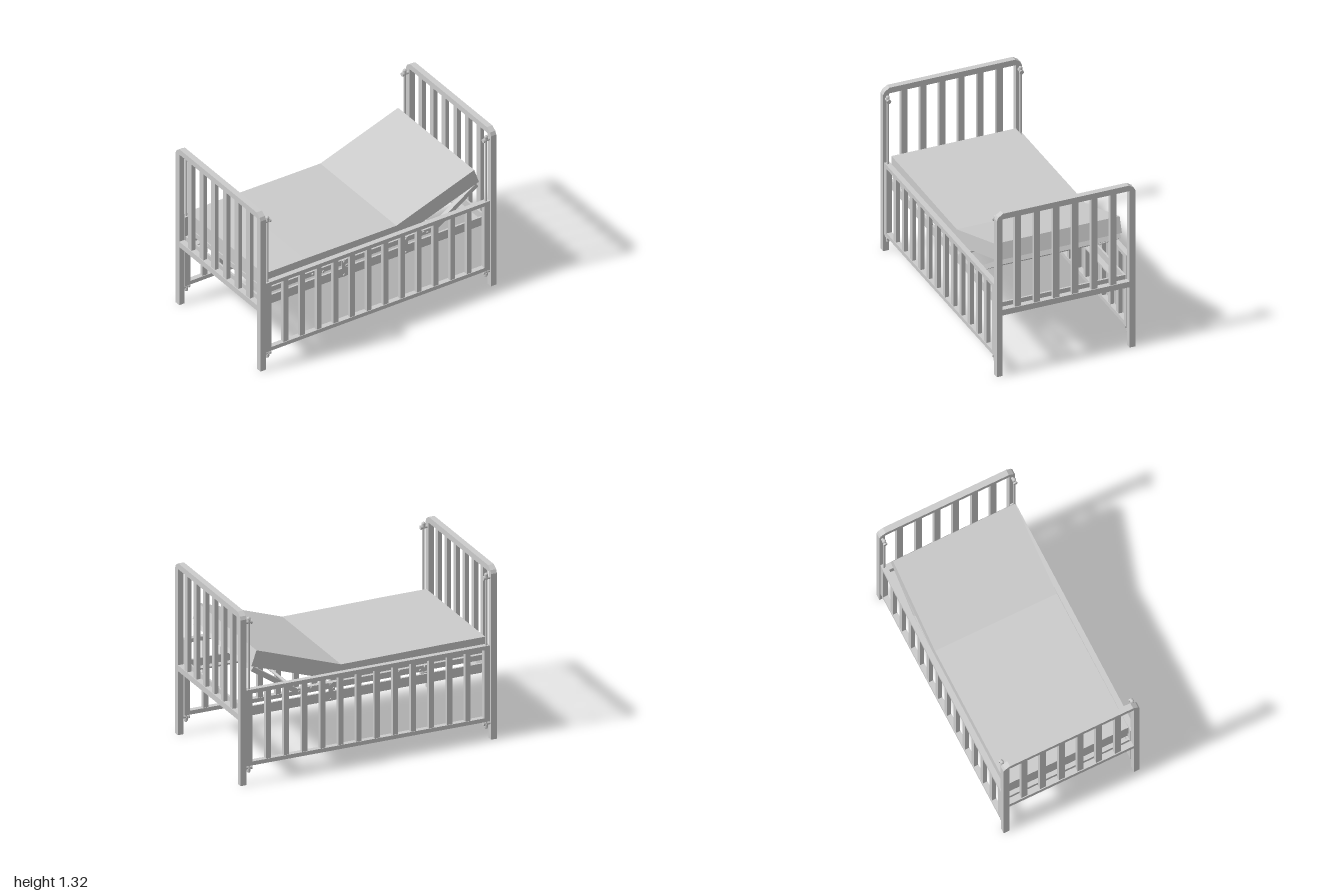
import * as THREE from 'three';

const mat = new THREE.MeshStandardMaterial({ color: 0xcccccc, flatShading: true });
const smooth = new THREE.MeshStandardMaterial({ color: 0xcccccc });

function add(parent, name, geometry, x = 0, y = 0, z = 0, material = mat) {
  const mesh = new THREE.Mesh(geometry, material);
  mesh.name = name;
  mesh.position.set(x, y, z);
  parent.add(mesh);
  return mesh;
}

// Box given by its lower and upper limits
function box(parent, name, x0, x1, y0, y1, z0, z1) {
  return add(parent, name, new THREE.BoxGeometry(x1 - x0, y1 - y0, z1 - z0),
    (x0 + x1) / 2, (y0 + y1) / 2, (z0 + z1) / 2);
}

// Round bar along one axis
function rod(parent, name, axis, radius, length, x, y, z) {
  const g = new THREE.CylinderGeometry(radius, radius, length, 12);
  if (axis === 'x') g.rotateZ(Math.PI / 2);
  if (axis === 'z') g.rotateX(Math.PI / 2);
  return add(parent, name, g, x, y, z, smooth);
}

function group(parent, name) {
  const g = new THREE.Group();
  g.name = name;
  parent.add(g);
  return g;
}

function polygon(points) {
  return new THREE.Shape(points.map(([x, y]) => new THREE.Vector2(x, y)));
}

// Head and foot boards: arched frame with six slats
function endBoard(parent, name, x) {
  const g = group(parent, name);
  const W = 0.535, H = 1.315, t = 0.045, w = W - t;
  const frame = polygon([
    [-W, 0], [-w, 0], [-w, 0.49], [w, 0.49], [w, 0], [W, 0],
    [W, H - 0.05], [W - 0.012, H - 0.025], [W - 0.05, H],
    [-W + 0.05, H], [-W + 0.012, H - 0.025], [-W, H - 0.05],
  ]);
  frame.holes.push(polygon([[-w, 0.535], [-w, 1.27], [w, 1.27], [w, 0.535]]));
  const geo = new THREE.ExtrudeGeometry(frame, { depth: t, bevelEnabled: false });
  geo.translate(0, 0, -t / 2).rotateY(Math.PI / 2);
  add(g, 'endFrame', geo, x);
  for (let i = 0; i < 6; i++) {
    const z = (i - 2.5) * 0.147;
    box(g, 'endSlat', x - 0.016, x + 0.016, 0.535, 1.27, z - 0.0235, z + 0.0235);
  }
}

// Drop side: rails, end stiles and twelve slats
function sideGate(parent, name, z) {
  const g = group(parent, name);
  const a = z - 0.02, b = z + 0.02;
  box(g, 'topRail', -0.95, 0.95, 0.69, 0.72, a, b);
  box(g, 'bottomRail', -0.95, 0.95, 0.14, 0.17, a, b);
  for (const s of [-1, 1]) {
    box(g, 'endStile', s * 0.9275 - 0.0225, s * 0.9275 + 0.0225, 0.17, 0.69, a, b);
  }
  for (let i = 0; i < 12; i++) {
    const x = (i - 5.5) * 0.1415;
    box(g, 'sideSlat', x - 0.02, x + 0.02, 0.17, 0.69, z - 0.015, z + 0.015);
  }
}

// Vertical guide rod with its end brackets
function guideRod(parent, sx, sz) {
  const g = group(parent, 'guideRod');
  const x = sx * 0.927, z = sz * 0.512;
  rod(g, 'rod', 'y', 0.009, 1.14, x, 0.68, z);
  for (const [y, d] of [[1.232, 1], [0.122, -1]]) {
    rod(g, 'bracket', 'x', 0.011, 0.05, sx * 0.932, y, z);
    rod(g, 'bracketNut', 'x', 0.016, 0.012, sx * 0.908, y, z);
    rod(g, 'collar', 'y', 0.014, 0.016, x, y + d * 0.014, z);
    add(g, 'rodKnob', new THREE.SphereGeometry(0.014, 12, 8), x, y + d * 0.026, z, smooth);
  }
}

export function createModel() {
  const bed = new THREE.Group();
  bed.name = 'cribBed';

  endBoard(bed, 'footBoard', -0.9775);
  endBoard(bed, 'headBoard', 0.9775);
  sideGate(bed, 'frontGate', 0.51);
  sideGate(bed, 'backGate', -0.51);
  for (const sx of [-1, 1]) for (const sz of [-1, 1]) guideRod(bed, sx, sz);

  // Fixed base frame of angle bars
  const base = group(bed, 'baseFrame');
  for (const s of [-1, 1]) {
    const bar = (name, x0, x1, y0, y1, z0, z1) =>
      box(base, name, x0, x1, y0, y1, Math.min(s * z0, s * z1), Math.max(s * z0, s * z1));
    bar('sideBar', -0.955, 0.955, 0.5, 0.57, 0.465, 0.48);
    bar('sideFlange', -0.955, 0.955, 0.5, 0.512, 0.42, 0.465);
    box(base, 'endBar', s * 0.9475 - 0.0075, s * 0.9475 + 0.0075, 0.5, 0.57, -0.465, 0.465);
    box(base, 'endFlange', s * 0.9175 - 0.0225, s * 0.9175 + 0.0225, 0.5, 0.512, -0.42, 0.42);
  }

  // Lifted mattress frame with cross rods, links and bolts
  const deck = group(bed, 'mattressFrame');
  for (const s of [-1, 1]) {
    box(deck, 'deckRail', -0.93, 0.53, 0.595, 0.635, s * 0.4575 - 0.0175, s * 0.4575 + 0.0175);
    for (const x of [-0.255, 0.27]) {
      box(deck, 'link', x - 0.018, x + 0.018, 0.5, 0.635, s * 0.479 - 0.003, s * 0.479 + 0.003);
      const lean = Math.sign(x) * -0.02;
      for (const [dx, y] of [[0, 0.622], [lean, 0.588], [0, 0.513]]) {
        rod(deck, 'bolt', 'z', 0.01, 0.012, x + dx, y, s * 0.482);
      }
    }
    for (const [x, y] of [[-0.52, 0.615], [-0.465, 0.625], [-0.43, 0.605], [0.42, 0.625], [0.455, 0.608], [0.515, 0.615]]) {
      rod(deck, 'smallBolt', 'z', 0.008, 0.012, x, y, s * 0.479);
    }
  }
  box(deck, 'deckEndRail', -0.93, -0.895, 0.595, 0.635, -0.44, 0.44);
  for (const x of [-0.255, 0.27, 0.525]) rod(deck, 'crossRod', 'z', 0.011, 0.92, x, 0.612, 0);

  // Slanted prop under the raised end
  const prop = group(bed, 'backrestProp');
  const dx = 0.35, dy = 0.235, len = Math.hypot(dx, dy);
  prop.position.set(0.53, 0.615, 0);
  prop.rotation.z = Math.atan2(dy, dx);
  for (const s of [-1, 1]) {
    box(prop, 'propArm', -0.01, len, -0.018, 0.018, s * 0.455 - 0.0175, s * 0.455 + 0.0175);
  }
  box(prop, 'propBar', len - 0.035, len, -0.018, 0.018, -0.4375, 0.4375);

  // Mattress, bent upward at the head end
  const profile = polygon([
    [-0.935, 0.65], [0.225, 0.65], [0.89, 0.875], [0.85, 0.99],
    [0.19, 0.763], [-0.13, 0.765], [-0.59, 0.77], [-0.935, 0.77],
  ]);
  const pad = new THREE.ExtrudeGeometry(profile, { depth: 0.96, bevelEnabled: false });
  add(bed, 'mattress', pad, 0, 0, -0.48);

  return bed;
}
